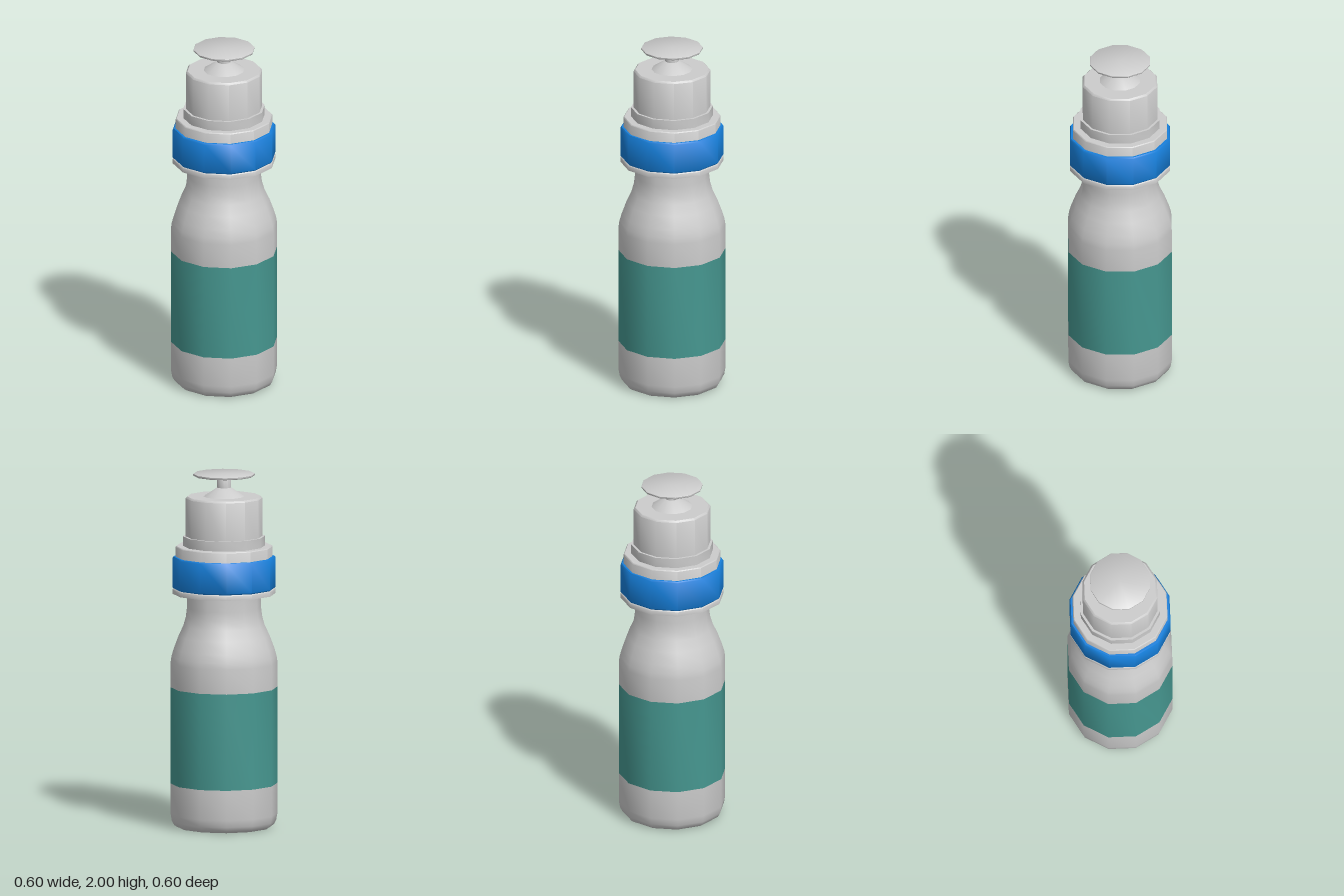
import * as THREE from 'three';
import { toCreasedNormals } from 'three/addons/utils/BufferGeometryUtils.js';

const SIDES = 12;

export function createModel() {
  const bottle = new THREE.Group();
  bottle.name = 'pumpBottle';

  const grey = new THREE.MeshStandardMaterial({ color: 0xcccccc, side: THREE.DoubleSide });
  const teal = new THREE.MeshStandardMaterial({ color: 0x469790, side: THREE.DoubleSide });
  const blue = new THREE.MeshStandardMaterial({ color: 0x1680dc, side: THREE.DoubleSide });

  // Revolve a [radius, height] profile, listed from bottom to top
  function turned(name, profile, material = grey) {
    const points = profile.map(([r, y]) => new THREE.Vector2(r, y));
    const geometry = toCreasedNormals(new THREE.LatheGeometry(points, SIDES), 0.8);
    const mesh = new THREE.Mesh(geometry, material);
    mesh.name = name;
    bottle.add(mesh);
  }

  // Body: rounded foot, label band, sloping shoulder and neck
  turned('base', [[0, 0], [0.265, 0], [0.28, 0.01], [0.293, 0.035], [0.3, 0.075], [0.3, 0.245]]);
  turned('labelBand', [[0.3, 0.245], [0.3, 0.79]], teal);
  turned('shoulderAndNeck', [
    [0.3, 0.79], [0.3, 0.93], [0.295, 0.965], [0.282, 1.01], [0.256, 1.08],
    [0.228, 1.14], [0.214, 1.19], [0.208, 1.24], [0.207, 1.33],
  ]);

  // Collar: flange, coloured ring and two stepped rings
  turned('flange', [[0, 1.32], [0.29, 1.32], [0.29, 1.345], [0.285, 1.35], [0, 1.35]]);
  turned('collarRing', [[0.27, 1.35], [0.284, 1.35], [0.29, 1.357], [0.29, 1.522], [0.284, 1.53], [0.27, 1.53]], blue);
  turned('upperCollar', [[0.273, 1.35], [0.273, 1.585], [0.268, 1.59], [0.23, 1.59], [0.23, 1.645], [0.2, 1.645]]);

  // Cap, with a cone carrying the stem and press disc
  turned('cap', [[0.216, 1.59], [0.216, 1.86], [0.206, 1.87], [0, 1.87]]);
  turned('cone', [[0.115, 1.87], [0.04, 1.92], [0, 1.92]]);
  turned('stem', [[0.04, 1.91], [0.04, 1.978], [0.034, 1.985]]);
  turned('pressDisc', [[0, 1.985], [0.168, 1.985], [0.173, 1.99], [0.173, 1.997], [0.169, 2], [0, 2]]);

  return bottle;
}
